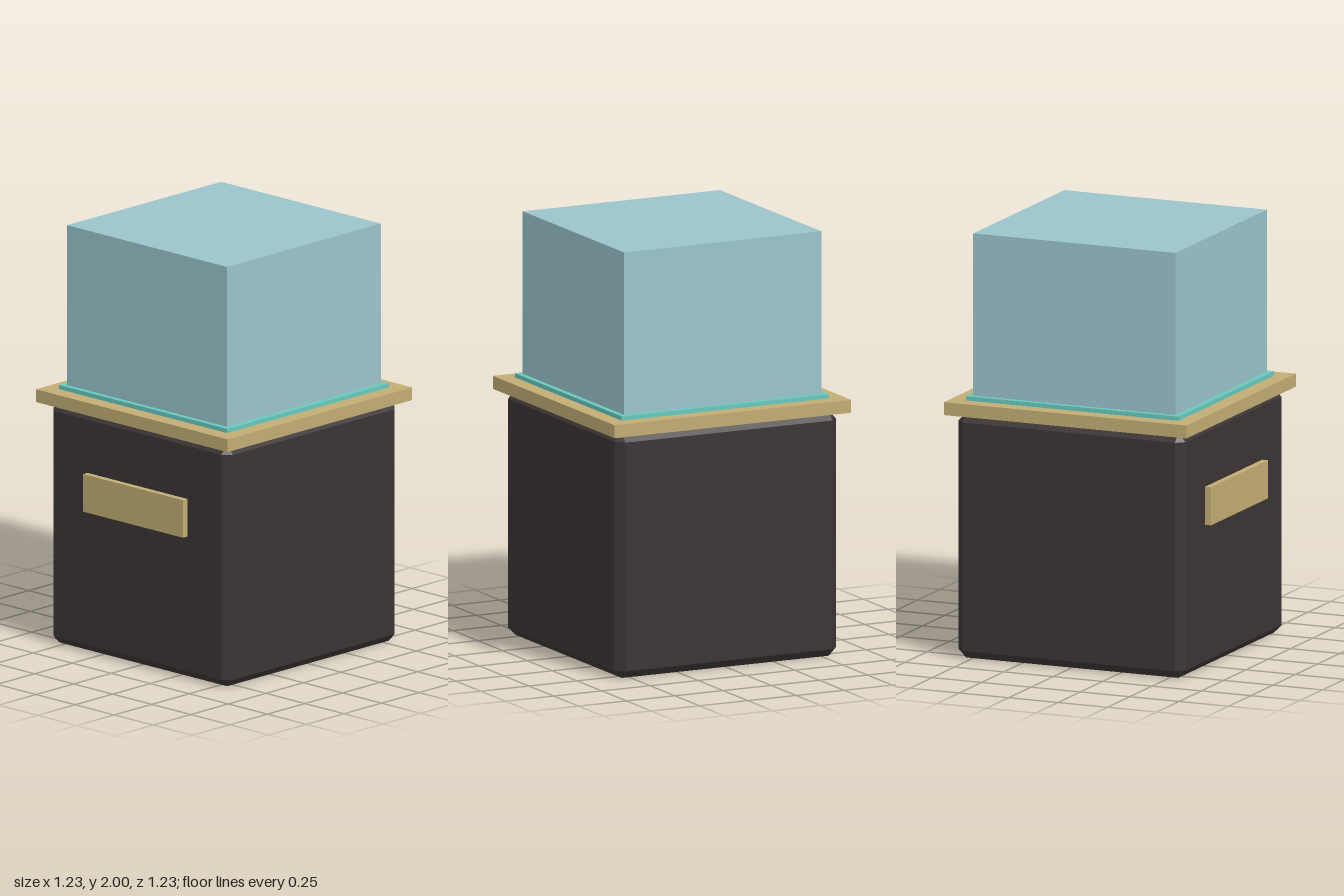
import * as THREE from 'three';
import { ConvexGeometry } from 'three/addons/geometries/ConvexGeometry.js';

const material = (name, color) => new THREE.MeshStandardMaterial({ name, color });

// Box with flat chamfers on every edge and corner
function chamferedBox(w, h, d, bevel) {
  const half = [w / 2, h / 2, d / 2];
  const points = [];
  for (const sx of [-1, 1]) for (const sy of [-1, 1]) for (const sz of [-1, 1]) {
    for (let full = 0; full < 3; full++) {
      const p = half.map((v, i) => (i === full ? v : v - bevel));
      points.push(new THREE.Vector3(sx * p[0], sy * p[1], sz * p[2]));
    }
  }
  return new ConvexGeometry(points);
}

export function createModel() {
  const model = new THREE.Group();
  model.name = 'displayCase';

  const darkStone = material('darkStone', 0x3b3534);
  const brass = material('brass', 0xc1ac74);
  const teal = material('teal', 0x68c9bf);
  const glass = material('paleGlass', 0x99c4ca);

  const add = (name, geometry, mat, y, z = 0) => {
    const mesh = new THREE.Mesh(geometry, mat);
    mesh.name = name;
    mesh.position.set(0, y, z);
    model.add(mesh);
  };
  // Square slab standing between two heights
  const slab = (name, width, y0, y1, mat) =>
    add(name, new THREE.BoxGeometry(width, y1 - y0, width), mat, (y0 + y1) / 2);

  // Pedestal with chamfered edges
  add('pedestal', chamferedBox(1.15, 1.155, 1.15, 0.038), darkStone, 0.5775);

  // Rim, glowing inset and glass cover
  slab('rim', 1.228, 1.153, 1.214, brass);
  slab('inset', 1.076, 1.214, 1.234, teal);
  slab('glassCover', 1.024, 1.234, 2, glass);

  // Name plate on the front
  add('frontPlate', new THREE.BoxGeometry(0.64, 0.18, 0.04), brass, 0.773, 0.585);

  return model;
}
